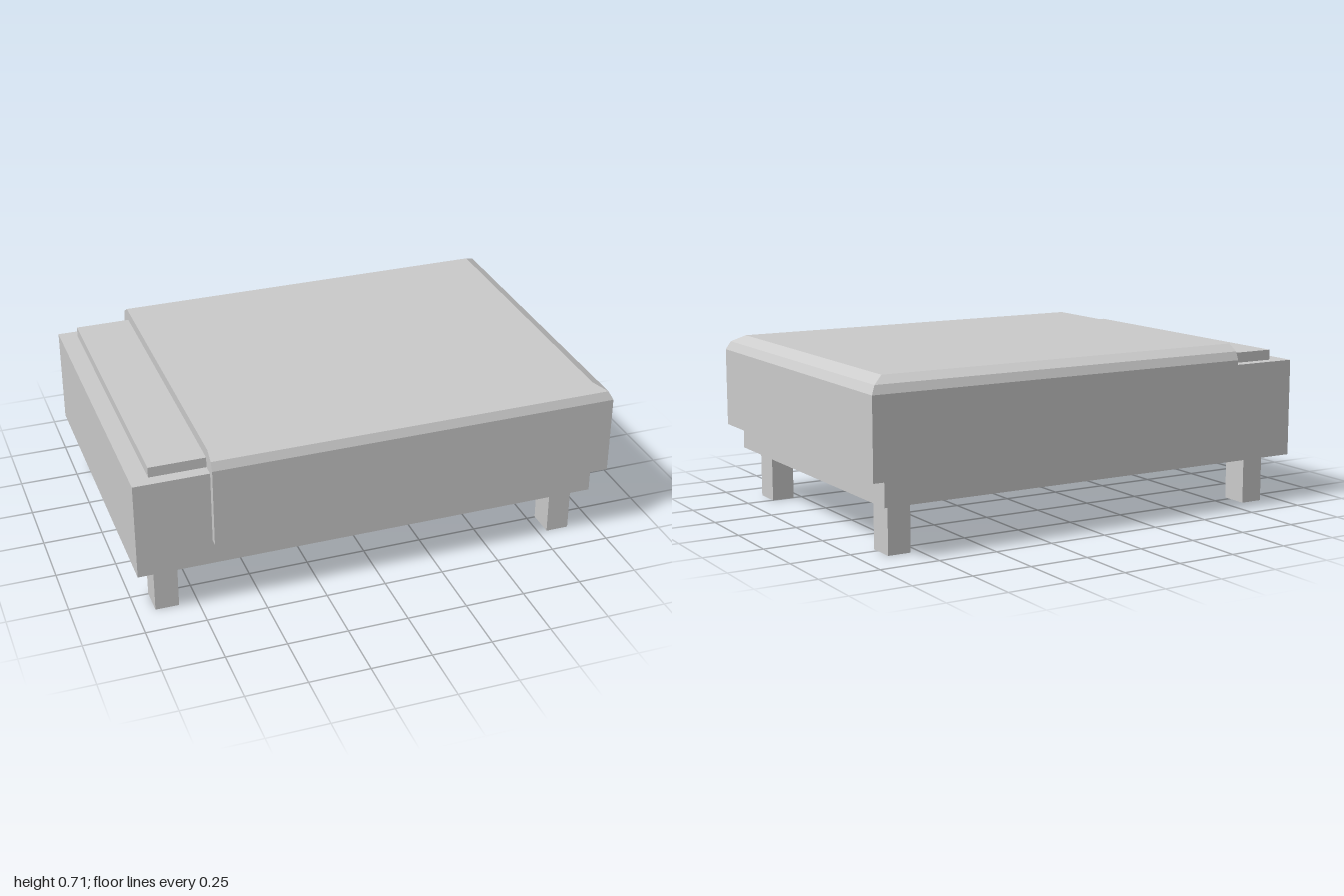
import * as THREE from 'three';

const material = new THREE.MeshStandardMaterial({ color: 0xcccccc, flatShading: true });

// Box given by its lower and upper limits on each axis
function box(name, [x0, x1], [y0, y1], [z0, z1]) {
  const mesh = new THREE.Mesh(new THREE.BoxGeometry(x1 - x0, y1 - y0, z1 - z0), material);
  mesh.position.set((x0 + x1) / 2, (y0 + y1) / 2, (z0 + z1) / 2);
  mesh.name = name;
  return mesh;
}

// Blanket: stacked rectangles, bevelled on both sides and at the foot, cut square at the head
function blanketGeometry() {
  const levels = [ // height, inset at the foot, inset at the sides
    [0.315, 0, 0],
    [0.645, 0, 0],
    [0.68, 0.018, 0.015],
    [0.708, 0.07, 0.06],
  ];
  const head = -0.695, foot = 1, side = 0.703;
  const positions = [], index = [];
  for (const [y, dx, dz] of levels) {
    const x = foot - dx, z = side - dz;
    positions.push(head, y, z, x, y, z, x, y, -z, head, y, -z);
  }
  const quad = (a, b, c, d) => index.push(a, b, c, a, c, d);
  for (let k = 0; k < levels.length - 1; k++) {
    for (let i = 0; i < 4; i++) {
      const a = k * 4 + i, b = k * 4 + (i + 1) % 4;
      quad(a, b, b + 4, a + 4);
    }
  }
  const top = (levels.length - 1) * 4;
  quad(top, top + 1, top + 2, top + 3);
  quad(3, 2, 1, 0);
  const indexed = new THREE.BufferGeometry();
  indexed.setAttribute('position', new THREE.Float32BufferAttribute(positions, 3));
  indexed.setIndex(index);
  const geometry = indexed.toNonIndexed();
  geometry.computeVertexNormals();
  return geometry;
}

export function createModel() {
  const bed = new THREE.Group();
  bed.name = 'bed';

  bed.add(box('base', [-1, 0.94], [0.21, 0.62], [-0.674, 0.672]));
  bed.add(box('mattress', [-0.925, 0.87], [0.6, 0.663], [-0.626, 0.622]));

  const blanket = new THREE.Mesh(blanketGeometry(), material);
  blanket.name = 'blanket';
  bed.add(blanket);

  // Four square legs
  for (const [end, x] of [['head', -0.925], ['foot', 0.788]]) {
    for (const [side, z] of [['Front', 0.497], ['Back', -0.59]]) {
      bed.add(box(`${end}${side}Leg`, [x, x + 0.097], [0, 0.21], [z, z + 0.118]));
    }
  }
  return bed;
}
